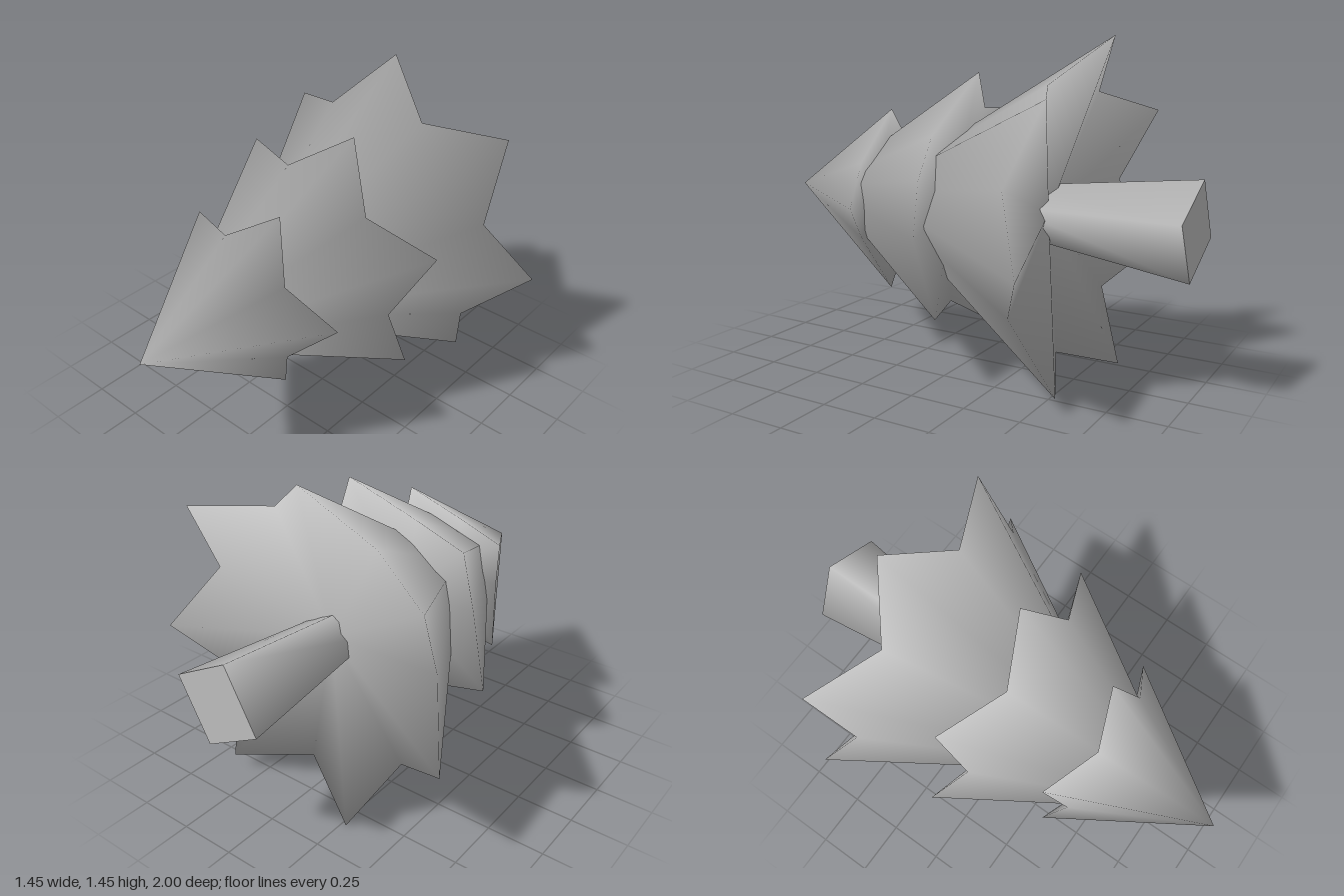
import * as THREE from 'three';

const grey = new THREE.MeshStandardMaterial({ color: 0xc0c0c0, side: THREE.DoubleSide });
grey.name = 'plain grey';

// Star-rimmed cone along z: apex, a zigzag rim shared by both sides, and a shallow hollow underside.
function tierGeometry({ points, start, apex, tip, valley, hollow }) {
  const pos = [0, 0, apex, 0, 0, hollow];
  const nor = [0, 0, 1, 0, 0, -1];
  const index = [];
  const n = points * 2;
  for (let i = 0; i < n; i++) {
    const [r, z] = i % 2 ? valley : tip;
    const a = THREE.MathUtils.degToRad(start) + (i / n) * Math.PI * 2;
    const c = Math.cos(a), s = Math.sin(a);
    pos.push(r * c, r * s, z);
    nor.push(0.87 * c, 0.87 * s, -0.5); // soft rim, blending top and underside
    const p = 2 + i, q = 2 + ((i + 1) % n);
    index.push(0, p, q, 1, q, p);
  }
  const g = new THREE.BufferGeometry();
  g.setAttribute('position', new THREE.Float32BufferAttribute(pos, 3));
  g.setAttribute('normal', new THREE.Float32BufferAttribute(nor, 3));
  g.setIndex(index);
  return g;
}

export function createModel() {
  const tree = new THREE.Group();
  tree.name = 'lyingTree';

  // Foliage tiers; tip and valley are [radius, z]
  const tiers = [
    { name: 'topTier', points: 5, start: 1, apex: 1, tip: [0.43, 0.365], valley: [0.292, 0.455], hollow: 0.54 },
    { name: 'middleTier', points: 6, start: 18.5, apex: 0.88, tip: [0.6, -0.08], valley: [0.44, 0.04], hollow: 0.12 },
    { name: 'bottomTier', points: 7, start: -7, apex: 0.6, tip: [0.75, -0.6], valley: [0.588, -0.44], hollow: -0.36 },
  ];
  for (const t of tiers) {
    const mesh = new THREE.Mesh(tierGeometry(t), grey);
    mesh.name = t.name;
    tree.add(mesh);
  }

  // Four-sided trunk, widening towards its foot
  const trunkGeometry = new THREE.CylinderGeometry(0.107, 0.206, 0.8, 4);
  trunkGeometry.rotateX(Math.PI / 2);
  trunkGeometry.rotateZ(THREE.MathUtils.degToRad(17));
  trunkGeometry.translate(0, 0, -0.6);
  const trunk = new THREE.Mesh(trunkGeometry, grey);
  trunk.name = 'trunk';
  tree.add(trunk);

  // The trunk axis leans very slightly
  tree.rotation.set(-0.011, -0.01, 0);
  tree.position.set(-0.023, 0.724, 0);

  const model = new THREE.Group();
  model.name = 'tree';
  model.add(tree);
  return model;
}
